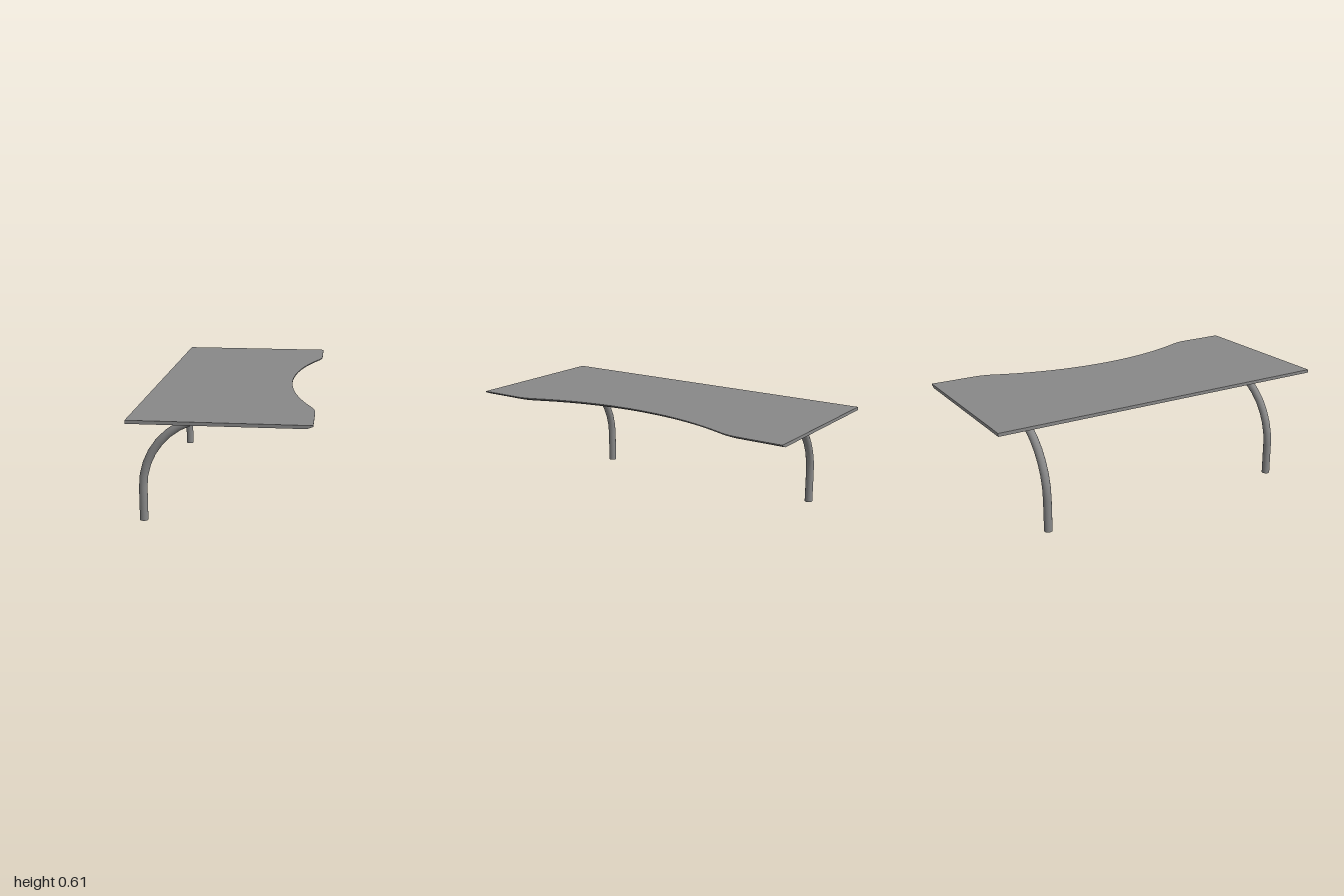
import * as THREE from 'three';
import { toCreasedNormals } from 'three/addons/utils/BufferGeometryUtils.js';

const material = new THREE.MeshStandardMaterial({ color: 0x888888 });

const BACK = -0.455, FRONT = 0.455;   // desk depth along x
const TOP = 0.61, UNDER = 0.592;      // desktop faces
const TUBE = 0.0225, BEND = 0.383;    // leg tube and bend radii

// Front edge: a shallow circular cut-out, eased into the straight ends
function frontEdge(z) {
  const a = Math.abs(z), R = 1.61, join = 0.63, end = 0.745;
  if (a >= end) return FRONT;
  const arc = (d) => 0.302 + R - Math.sqrt(R * R - d * d);
  if (a <= join) return arc(a);
  const t = (a - join) / (end - join);
  return arc(join) + (FRONT - arc(join)) * (1 - (1 - t) ** 2);
}

// Desktop: profile with a bevelled underside, swept along z, front shifted to the curve
function makeDesktop() {
  const profile = new THREE.Shape([
    [BACK, UNDER], [FRONT - 0.03, UNDER], [FRONT, 0.604], [FRONT, TOP], [BACK, TOP],
  ].map(([x, y]) => new THREE.Vector2(x, y)));
  const geometry = new THREE.ExtrudeGeometry(profile, { depth: 2, steps: 80, bevelEnabled: false });
  geometry.translate(0, 0, -1);
  const p = geometry.attributes.position;
  for (let i = 0; i < p.count; i++) {
    if (p.getX(i) > 0) p.setX(i, p.getX(i) + frontEdge(p.getZ(i)) - FRONT);
  }
  const mesh = new THREE.Mesh(toCreasedNormals(geometry, 0.3), material);
  mesh.name = 'desktop';
  return mesh;
}

// Leg: upright tube, quarter bend, and straight arm under the desktop
function makeLeg(z) {
  const leg = new THREE.Group();
  leg.name = z > 0 ? 'frontLeg' : 'rearLeg';
  const bendX = BACK + TUBE + BEND, bendY = 0.182, armLength = 0.13 - bendX;
  const add = (name, geometry, x, y) => {
    const mesh = new THREE.Mesh(geometry, material);
    mesh.name = name;
    mesh.position.set(x, y, z);
    leg.add(mesh);
  };
  add('upright', new THREE.CylinderGeometry(TUBE, TUBE, bendY, 16), bendX - BEND, bendY / 2);
  add('bend', new THREE.TorusGeometry(BEND, TUBE, 16, 9, Math.PI / 2).rotateZ(Math.PI / 2), bendX, bendY);
  add('arm', new THREE.CylinderGeometry(TUBE, TUBE, armLength, 16).rotateZ(Math.PI / 2),
    bendX + armLength / 2, bendY + BEND);
  return leg;
}

export function createModel() {
  const desk = new THREE.Group();
  desk.name = 'desk';
  desk.add(makeDesktop());
  for (const side of [-1, 1]) desk.add(makeLeg(side * 0.735));
  return desk;
}
